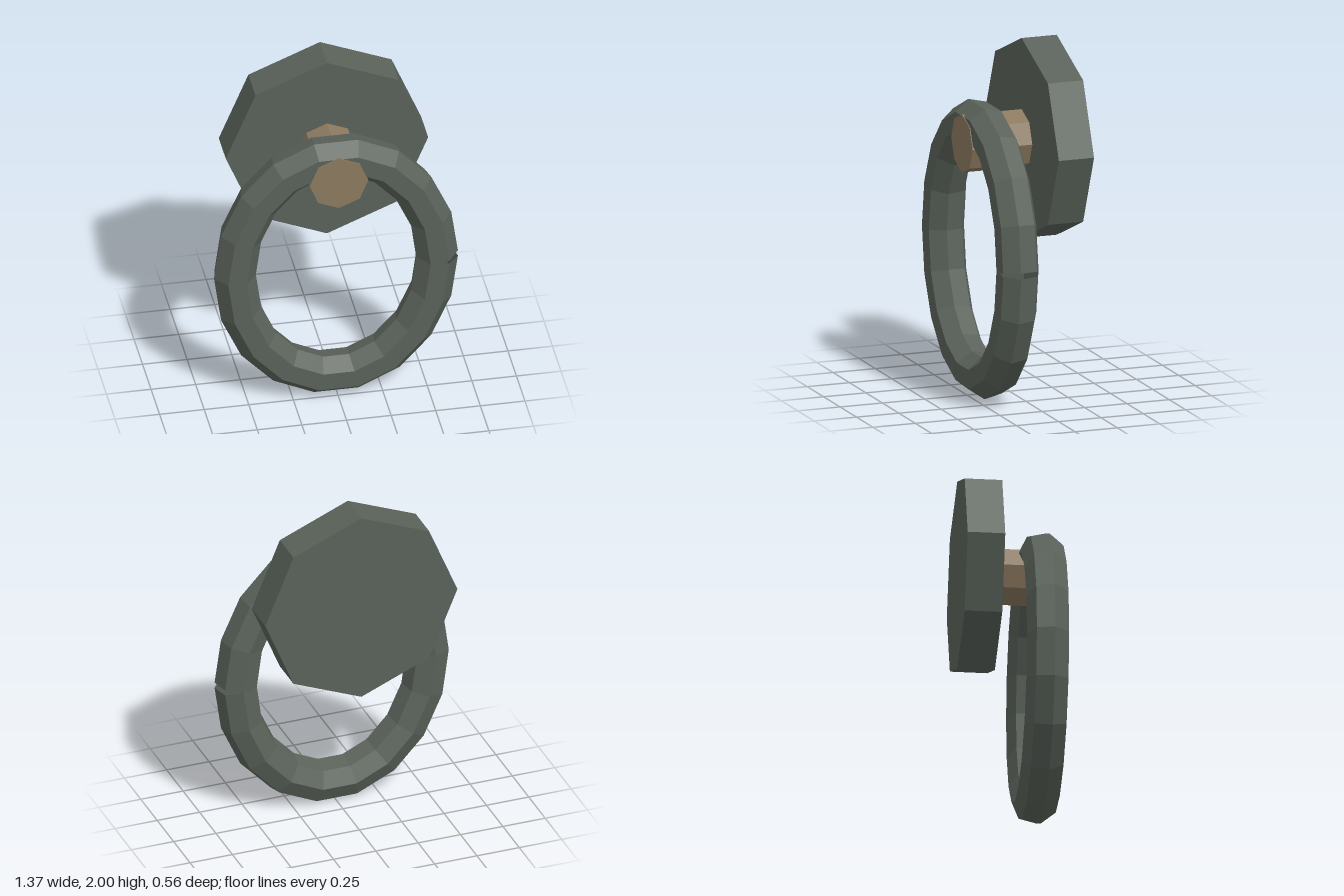
import * as THREE from 'three';

const iron = new THREE.MeshStandardMaterial({ name: 'dark iron', color: 0x5a625a, flatShading: true });
const brass = new THREE.MeshStandardMaterial({ name: 'dull brass', color: 0x8c7a60, flatShading: true });
const ironOpen = iron.clone();
ironOpen.side = THREE.DoubleSide;

const CENTRE_Y = 1.433;

// Octagonal prism lying along z, with a corner at the top
function octagon(name, radius, z0, z1, material) {
  const geo = new THREE.CylinderGeometry(radius, radius, z1 - z0, 8).rotateX(Math.PI / 2);
  const mesh = new THREE.Mesh(geo, material);
  mesh.name = name;
  mesh.position.set(0, CENTRE_Y, (z0 + z1) / 2);
  return mesh;
}

// Oval ring: seven-sided section swept round an ellipse, with a split where the ends meet
function ovalRing() {
  const rx = 0.567, ry = 0.72, tube = 0.12, steps = 18, sides = 7, split = 0.15;
  const positions = [], index = [];
  for (let j = 0; j <= steps; j++) {
    const a = (j / steps) * Math.PI * 2;
    const x = rx * Math.cos(a), y = ry * Math.sin(a);
    let dir = Math.atan2(Math.sin(a) / ry, Math.cos(a) / rx);
    if (j === 0) dir = split;
    if (j === steps) dir = -split;
    for (let k = 0; k <= sides; k++) {
      const b = -Math.PI / 2 + (k / sides) * Math.PI * 2;
      const out = tube * Math.cos(b);
      positions.push(x + out * Math.cos(dir), y + out * Math.sin(dir), tube * Math.sin(b));
    }
  }
  const row = sides + 1;
  for (let j = 0; j < steps; j++) {
    for (let k = 0; k < sides; k++) {
      const p = j * row + k;
      index.push(p, p + row, p + 1, p + row, p + row + 1, p + 1);
    }
  }
  const geo = new THREE.BufferGeometry();
  geo.setAttribute('position', new THREE.Float32BufferAttribute(positions, 3));
  geo.setIndex(index);
  const flat = geo.toNonIndexed();
  flat.computeVertexNormals();
  const mesh = new THREE.Mesh(flat, ironOpen);
  mesh.name = 'ring';
  mesh.position.set(0, 0.827, 0.168);
  return mesh;
}

export function createModel() {
  const group = new THREE.Group();
  group.name = 'ringPull';
  group.add(
    octagon('backPlate', 0.567, -0.28, -0.072, iron),
    octagon('pin', 0.164, -0.27, 0.28, brass),
    ovalRing(),
  );
  return group;
}
